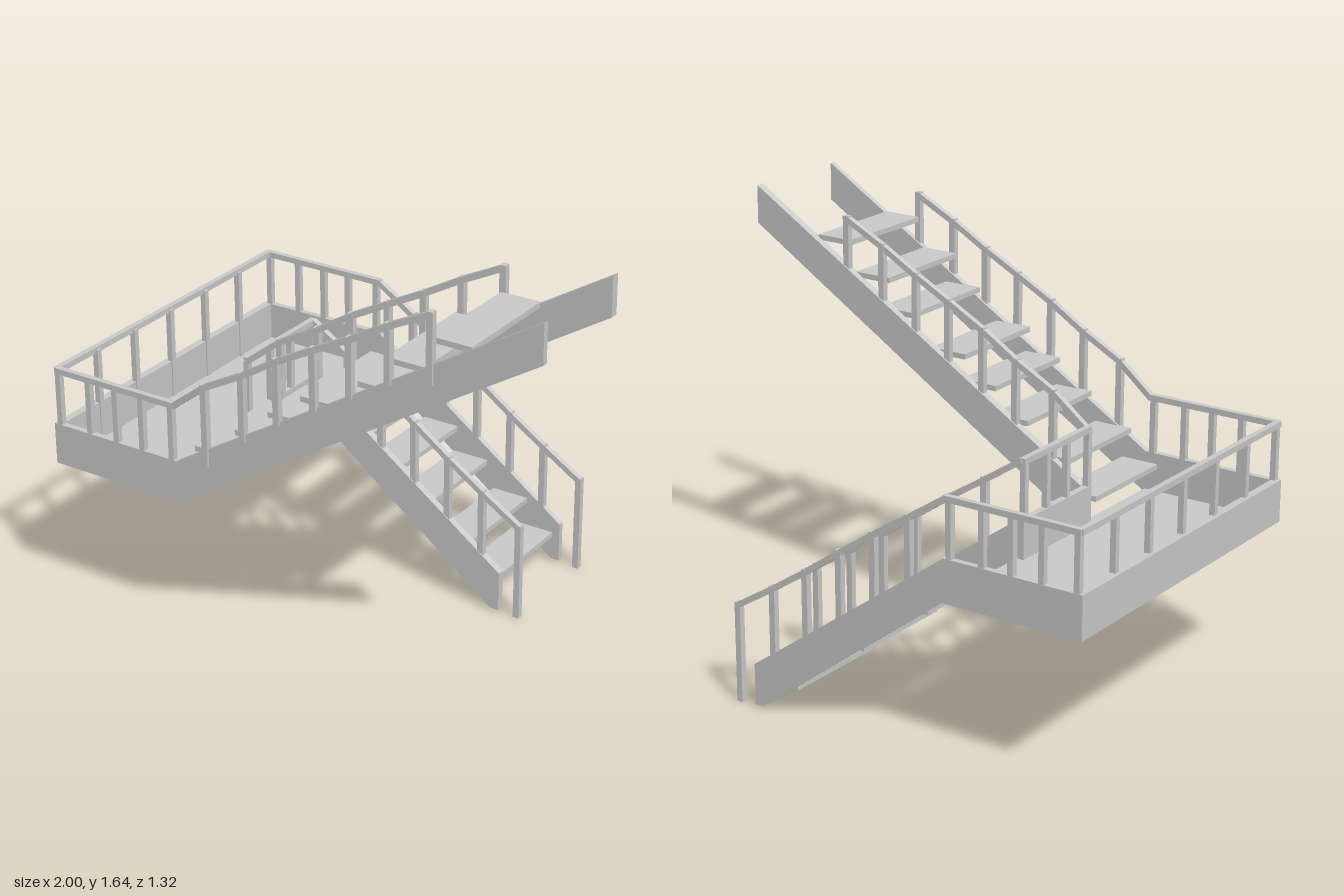
import * as THREE from 'three';

const mat = new THREE.MeshStandardMaterial({ color: 0xcccccc, flatShading: true });

// Box given by its min and max on each axis
function block(parent, name, x0, x1, y0, y1, z0, z1) {
  const m = new THREE.Mesh(new THREE.BoxGeometry(x1 - x0, y1 - y0, z1 - z0), mat);
  m.name = name;
  m.position.set((x0 + x1) / 2, (y0 + y1) / 2, (z0 + z1) / 2);
  parent.add(m);
}

// Square bar between two points
function bar(parent, name, a, b, size = 0.022) {
  const p = new THREE.Vector3(...a), q = new THREE.Vector3(...b);
  const m = new THREE.Mesh(new THREE.BoxGeometry(size, size, p.distanceTo(q) + size * 0.3), mat);
  m.name = name;
  m.position.copy(p).add(q).multiplyScalar(0.5);
  m.lookAt(q);
  parent.add(m);
}

// Upright post standing on y0
function post(parent, x, z, y0, y1, w = 0.024) {
  block(parent, 'post', x - w / 2, x + w / 2, y0, y1, z - w / 2, z + w / 2);
}

// Sloping side board from a side profile
function stringer(parent, points, z0, z1) {
  const shape = new THREE.Shape(points.map(p => new THREE.Vector2(...p)));
  const m = new THREE.Mesh(new THREE.ExtrudeGeometry(shape, { depth: z1 - z0, bevelEnabled: false }), mat);
  m.name = 'stringer';
  m.position.z = z0;
  parent.add(m);
}

// Handrail through post tops; each entry is [x, top, bottom]
function stairRail(parent, name, start, posts, z) {
  const g = new THREE.Group();
  g.name = name;
  let last = start;
  for (const [x, top, bottom] of posts) {
    post(g, x, z, bottom, top);
    const next = [x, top - 0.011, z];
    bar(g, 'handrail', last, next);
    last = next;
  }
  parent.add(g);
}

export function createModel() {
  const model = new THREE.Group();
  model.name = 'staircase';
  const group = name => {
    const g = new THREE.Group();
    g.name = name;
    model.add(g);
    return g;
  };

  // Landing floor and skirting boards
  const landing = group('landing');
  block(landing, 'floor', -1, -0.45, 0.6, 0.615, -0.66, 0.65);
  block(landing, 'endSkirt', -1, -0.97, 0.6, 0.76, -0.66, 0.65);
  block(landing, 'backSkirt', -0.97, -0.45, 0.6, 0.76, -0.66, -0.637);
  block(landing, 'frontSkirt', -0.97, -0.45, 0.6, 0.76, 0.627, 0.65);
  block(landing, 'innerSkirt', -0.48, -0.455, 0.6, 0.76, -0.22, 0.21);

  // Landing railing
  const rail = group('landingRailing');
  const railY = 0.97;
  for (const z of [-0.648, 0.638]) {
    for (const x of [-0.84, -0.72, -0.605, -0.475]) post(rail, x, z, 0.75, railY, 0.022);
    bar(rail, 'topRail', [-0.985, railY, z], [-0.455, railY, z]);
  }
  for (let i = 0; i < 7; i++) {
    post(rail, -0.976, -0.648 + i * (1.286 / 6), 0.612, railY, 0.022);
  }
  bar(rail, 'topRail', [-0.983, railY, -0.65], [-0.983, railY, 0.64]);
  for (const z of [-0.2, -0.063, 0.063, 0.2]) post(rail, -0.467, z, 0.75, railY, 0.022);
  bar(rail, 'topRail', [-0.467, railY, -0.21], [-0.467, railY, 0.205]);

  // Upper flight
  const upper = group('upperFlight');
  const upperSide = [[-0.45, 0.6], [1, 1.5], [1, 1.645], [-0.45, 0.76]];
  stringer(upper, upperSide, 0.183, 0.215);
  stringer(upper, upperSide, 0.628, 0.65);
  const upperTreads = [[-0.5, 0.71], [-0.38, 0.825], [-0.205, 0.935], [-0.065, 1.04],
    [0.07, 1.135], [0.3, 1.25], [0.41, 1.365], [0.585, 1.48]];
  for (const [x, y] of upperTreads) block(upper, 'tread', x, x + 0.15, y - 0.01, y + 0.01, 0.21, 0.635);
  const upperPosts = [[-0.32, 1.09, 0.78], [-0.16, 1.175, 0.92], [-0.015, 1.265, 1.02], [0.135, 1.345, 1.11],
    [0.28, 1.42, 1.2], [0.43, 1.505, 1.29], [0.59, 1.585, 1.33]];
  stairRail(upper, 'upperInnerRailing', [-0.46, railY, 0.2], upperPosts, 0.2);
  stairRail(upper, 'upperOuterRailing', [-0.46, railY, 0.638], upperPosts, 0.647);

  // Lower flight
  const lower = group('lowerFlight');
  const lowerSide = [[-0.45, 0.6], [0.33, 0.01], [0.365, 0.01], [0.365, 0.165], [-0.45, 0.755]];
  stringer(lower, lowerSide, -0.66, -0.637);
  stringer(lower, lowerSide, -0.218, -0.19);
  const lowerTreads = [[-0.38, 0.543], [-0.245, 0.448], [-0.11, 0.34], [0.07, 0.228], [0.185, 0.113]];
  for (const [x, y] of lowerTreads) block(lower, 'tread', x, x + 0.15, y - 0.01, y + 0.01, -0.642, -0.21);
  const lowerPosts = [[-0.308, 0.88, 0.64], [-0.16, 0.785, 0.535], [-0.015, 0.685, 0.43], [0.133, 0.58, 0.32],
    [0.28, 0.482, 0.215], [0.438, 0.383, 0]];
  stairRail(lower, 'lowerInnerRailing', [-0.46, railY, -0.205], lowerPosts, -0.205);
  stairRail(lower, 'lowerOuterRailing', [-0.46, railY, -0.648], lowerPosts, -0.648);

  return model;
}
